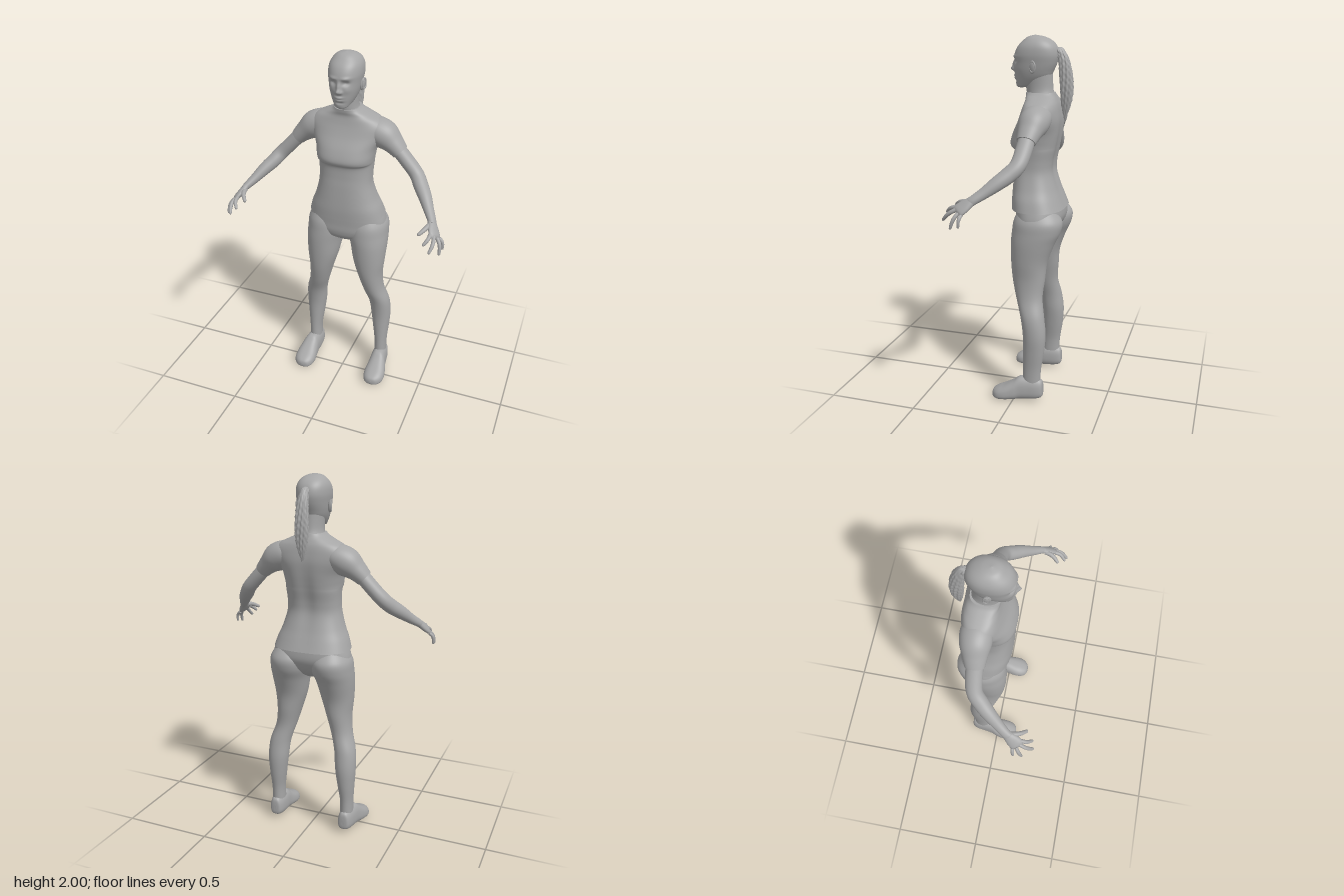
import * as THREE from 'three';

const V = (x, y, z) => new THREE.Vector3(x, y, z);
const pw = (v, e) => Math.sign(v) * Math.abs(v) ** e;
const bump = (x, y, wx, wy) => Math.exp(-((x / wx) ** 2) - (y / wy) ** 2);

// Smooth interpolation through rows of numbers
function sample(keys, t) {
  const f = t * (keys.length - 1), i = Math.min(Math.floor(f), keys.length - 2), u = f - i;
  const k = (j) => keys[Math.max(0, Math.min(keys.length - 1, j))];
  return keys[i].map((_, c) => {
    const a = k(i - 1)[c], b = k(i)[c], d = k(i + 1)[c], e = k(i + 2)[c];
    return b + 0.5 * u * (d - a + u * (2 * a - 5 * b + 4 * d - e + u * (3 * (b - d) + e - a)));
  });
}

// Closed skin over rings of points; point(t, angle) gives [x, y, z]
function skin(point, rows, n) {
  const pos = [], idx = [];
  for (let r = 0; r <= rows; r++)
    for (let i = 0; i < n; i++) pos.push(...point(r / rows, (i / n) * Math.PI * 2));
  for (let r = 0; r < rows; r++)
    for (let i = 0; i < n; i++) {
      const a = r * n + i, b = r * n + ((i + 1) % n);
      idx.push(a, a + n, b, b, a + n, b + n);
    }
  // Flat end caps with their own vertices
  for (const end of [0, rows]) {
    const start = pos.length / 3, mid = [0, 0, 0];
    for (let i = 0; i < n; i++)
      for (let c = 0; c < 3; c++) {
        const v = pos[(end * n + i) * 3 + c];
        mid[c] += v / n;
        pos.push(v);
      }
    pos.push(...mid);
    for (let i = 0; i < n; i++) {
      const a = start + i, b = start + ((i + 1) % n);
      idx.push(...(end ? [a, start + n, b] : [a, b, start + n]));
    }
  }
  // Turn the faces outward whatever the ring direction
  const p = (i) => V(pos[i * 3], pos[i * 3 + 1], pos[i * 3 + 2]);
  let volume = 0;
  for (let i = 0; i < idx.length; i += 3) volume += p(idx[i]).dot(p(idx[i + 1]).cross(p(idx[i + 2])));
  if (volume < 0) idx.reverse();
  const g = new THREE.BufferGeometry();
  g.setAttribute('position', new THREE.Float32BufferAttribute(pos, 3));
  g.setIndex(idx);
  g.computeVertexNormals();
  return g;
}

// Level rings: [y, x centre, half width, z front, z back]; e squares the ring, shape refines a point
function stack(keys, { s = 1, e = 0.9, n = 48, steps = 6, shape = (p) => p } = {}) {
  return skin((t, a) => {
    const [y, xc, hw, zf, zb] = sample(keys, t);
    const c = Math.cos(a), q = Math.sin(a);
    return shape([s * (xc + hw * pw(c, e)), y, (zf + zb) / 2 + ((zf - zb) / 2) * pw(q, e)], q, a);
  }, (keys.length - 1) * steps, n);
}

// Rings across a path: [x, y, z, radius, radius along ref]
function limb(keys, s, ref = V(0, 0, 1), n = 24, steps = 6) {
  return skin((t, a) => {
    const k = sample(keys, t);
    const k0 = sample(keys, Math.max(0, t - 0.02)), k1 = sample(keys, Math.min(1, t + 0.02));
    const dir = V(k1[0] - k0[0], k1[1] - k0[1], k1[2] - k0[2]).normalize();
    const b = ref.clone().addScaledVector(dir, -ref.dot(dir)).normalize();
    const w = dir.cross(b);
    const p = V(k[0], k[1], k[2]).addScaledVector(w, k[3] * Math.cos(a)).addScaledVector(b, k[4] * Math.sin(a));
    return [s * p.x, p.y, p.z];
  }, (keys.length - 1) * steps, n);
}

export function createModel() {
  const model = new THREE.Group();
  const grey = new THREE.MeshStandardMaterial({ color: 0xa6a6a6 });
  grey.name = 'grey';
  const add = (name, geometry) => {
    const mesh = new THREE.Mesh(geometry, grey);
    mesh.name = name;
    model.add(mesh);
    return mesh;
  };

  // Head, with the face raised and sunk from the front of the skull
  const face = ([x, y, z], q) => {
    const ax = Math.abs(x);
    const d = 0.021 * bump(x, y - 1.825, 0.012, 0.013) + 0.014 * bump(x, y - 1.85, 0.01, 0.022)
      + 0.007 * bump(ax - 0.014, y - 1.82, 0.008, 0.008)
      - 0.013 * bump(ax - 0.033, y - 1.866, 0.018, 0.012) + 0.006 * bump(ax - 0.035, y - 1.89, 0.025, 0.008)
      + 0.009 * bump(x, y - 1.792, 0.02, 0.006) + 0.008 * bump(x, y - 1.777, 0.018, 0.006)
      - 0.005 * bump(x, y - 1.763, 0.025, 0.007) + 0.004 * bump(ax - 0.045, y - 1.83, 0.02, 0.018);
    return [x, y, z + (q > 0 ? d * Math.min(1, q * 2) : 0)];
  };
  add('head', stack([
    [1.728, 0, 0.012, 0.035, 0.01], [1.735, 0, 0.034, 0.046, -0.03], [1.753, 0, 0.049, 0.051, -0.09],
    [1.785, 0, 0.065, 0.055, -0.135], [1.82, 0, 0.076, 0.057, -0.155], [1.86, 0, 0.083, 0.058, -0.172],
    [1.9, 0, 0.088, 0.057, -0.18], [1.94, 0, 0.084, 0.04, -0.172], [1.97, 0, 0.068, 0.012, -0.147],
    [1.991, 0, 0.041, -0.015, -0.105], [2, 0, 0.003, -0.05, -0.058]], { n: 120, steps: 9, shape: face }));
  add('neck', stack([[1.64, 0, 0.085, -0.02, -0.17], [1.69, 0, 0.064, -0.012, -0.16], [1.73, 0, 0.057, -0.005, -0.152],
    [1.8, 0, 0.06, 0, -0.15]], { e: 1 }));

  // Ponytail with ragged strands, and its tie
  add('ponytail', stack([
    [1.94, 0, 0.004, -0.165, -0.18], [1.932, 0, 0.015, -0.16, -0.205], [1.88, 0, 0.025, -0.18, -0.235],
    [1.8, 0, 0.031, -0.188, -0.254], [1.72, 0, 0.032, -0.193, -0.258], [1.64, 0, 0.022, -0.2, -0.247],
    [1.565, 0, 0.003, -0.214, -0.22]], {
    n: 60, shape: ([x, y, z], q, a) => {
      const k = 1 + 0.1 * Math.cos(11 * a + 30 * y) + 0.05 * Math.cos(7 * a - 170 * y);
      return [x * k, y, -0.218 + (z + 0.218) * k];
    } }));
  const tie = add('hairTie', new THREE.TorusGeometry(0.016, 0.007, 10, 24));
  tie.position.set(0, 1.918, -0.183);
  tie.rotation.x = 0.5;

  // Shirt body with a softly hollowed spine
  add('shirt', stack([
    [1.085, 0, 0.213, 0.055, -0.233], [1.14, 0, 0.196, 0.057, -0.212], [1.2, 0, 0.171, 0.055, -0.19],
    [1.28, 0, 0.149, 0.05, -0.168], [1.34, 0, 0.146, 0.045, -0.17], [1.4, 0, 0.15, 0.046, -0.182],
    [1.422, 0, 0.153, 0.066, -0.186], [1.45, 0, 0.157, 0.07, -0.191], [1.5, 0, 0.167, 0.053, -0.198],
    [1.56, 0, 0.195, 0.022, -0.202], [1.61, 0, 0.206, 0.002, -0.197], [1.645, 0, 0.178, -0.008, -0.19],
    [1.67, 0, 0.128, -0.012, -0.18], [1.69, 0, 0.085, -0.008, -0.17], [1.705, 0, 0.067, -0.006, -0.163]], {
    n: 72, e: 0.8, shape: ([x, y, z], q) => [x, y, q < 0 ? z + 0.012 * bump(x, y - 1.38, 0.04, 0.2) : z] }));

  // Trousers seat
  add('trousersSeat', stack([
    [1.1, 0, 0.205, 0.035, -0.224], [1.04, 0, 0.221, 0.032, -0.226], [0.99, 0, 0.215, 0.03, -0.205],
    [0.95, 0, 0.15, 0.015, -0.17], [0.915, 0, 0.04, -0.03, -0.12]], { n: 64, e: 0.85 }));

  const across = V(0.04, -0.035, -0.045), handBack = V(0.73, 0.68, 0.12);
  for (const [side, s] of [['left', 1], ['right', -1]]) {
    // Leg
    add(side + 'Leg', stack([
      [1.085, 0.12, 0.075, 0, -0.2], [1.03, 0.12, 0.108, 0.026, -0.238], [0.97, 0.123, 0.112, 0.035, -0.232],
      [0.9, 0.133, 0.103, 0.039, -0.2], [0.8, 0.14, 0.089, 0.036, -0.165], [0.7, 0.151, 0.069, 0.025, -0.155],
      [0.6, 0.17, 0.058, 0, -0.147], [0.5, 0.199, 0.059, -0.033, -0.164], [0.4, 0.208, 0.057, -0.049, -0.176],
      [0.3, 0.212, 0.047, -0.051, -0.17], [0.2, 0.215, 0.036, -0.051, -0.155], [0.12, 0.215, 0.035, -0.05, -0.15]],
    { s, e: 0.95 }));

    // Shoe: [z, x centre, half width, bottom, top]
    const shoe = [[-0.166, 0.215, 0.008, 0.05, 0.09], [-0.16, 0.215, 0.028, 0.03, 0.125], [-0.13, 0.216, 0.04, 0.019, 0.138],
      [-0.08, 0.218, 0.045, 0.013, 0.142], [-0.035, 0.222, 0.048, 0.009, 0.14], [0, 0.226, 0.055, 0.005, 0.116],
      [0.05, 0.228, 0.062, 0.001, 0.086], [0.09, 0.228, 0.056, 0, 0.067], [0.117, 0.226, 0.034, 0.005, 0.05],
      [0.125, 0.225, 0.006, 0.018, 0.032]];
    add(side + 'Shoe', skin((t, a) => {
      const [z, xc, hw, lo, hi] = sample(shoe, t);
      const q = Math.sin(a), taper = 1 - 0.15 * q;
      return [s * (xc + hw * taper * pw(Math.cos(a), 0.75)), (lo + hi) / 2 + ((hi - lo) / 2) * pw(q, 0.8), z];
    }, 54, 40));

    // Sleeve and arm
    add(side + 'Sleeve', limb([
      [0.09, 1.605, -0.105, 0.04, 0.055], [0.14, 1.59, -0.105, 0.068, 0.08], [0.2, 1.56, -0.102, 0.076, 0.08],
      [0.25, 1.522, -0.096, 0.056, 0.064], [0.292, 1.482, -0.09, 0.043, 0.051]], s, V(0, 0, 1), 40));
    add(side + 'Arm', limb([
      [0.26, 1.515, -0.092, 0.038, 0.044], [0.33, 1.44, -0.088, 0.038, 0.044], [0.388, 1.378, -0.076, 0.038, 0.042],
      [0.425, 1.335, -0.038, 0.038, 0.042], [0.462, 1.298, 0.008, 0.034, 0.038], [0.5, 1.255, 0.063, 0.026, 0.03],
      [0.53, 1.224, 0.108, 0.02, 0.026], [0.538, 1.213, 0.124, 0.017, 0.026]], s, V(0, 0, 1), 32));

    // Palm, fingers and thumb
    add(side + 'Palm', limb([
      [0.525, 1.229, 0.1, 0.016, 0.022], [0.538, 1.212, 0.125, 0.018, 0.029], [0.552, 1.193, 0.15, 0.017, 0.037],
      [0.565, 1.175, 0.173, 0.014, 0.038], [0.571, 1.166, 0.182, 0.004, 0.03]], s, across));
    const fingers = {
      IndexFinger: [V(0.545, 1.19, 0.19), V(0.523, 1.152, 0.25), 0.0105],
      MiddleFinger: [V(0.563, 1.178, 0.186), V(0.558, 1.118, 0.26), 0.0105],
      RingFinger: [V(0.577, 1.165, 0.17), V(0.6, 1.087, 0.205), 0.01],
      LittleFinger: [V(0.585, 1.157, 0.152), V(0.606, 1.097, 0.16), 0.009],
      Thumb: [V(0.525, 1.214, 0.135), V(0.486, 1.186, 0.215), 0.0125],
    };
    for (const [name, [base, tip, r]] of Object.entries(fingers)) {
      const keys = [[0, 1], [0.33, 1], [0.62, 0.92], [0.9, 0.75], [0.98, 0.5], [1, 0.08]].map(([t, w]) => {
        const p = base.clone().lerp(tip, t).addScaledVector(handBack, 0.012 * Math.sin(Math.PI * t));
        return [p.x, p.y, p.z, r * w, r * w];
      });
      add(side + name, limb(keys, s, across, 14, 4));
    }

    // Eye and ear
    const eye = add(side + 'Eye', new THREE.SphereGeometry(0.012, 20, 14));
    eye.scale.set(1.1, 0.55, 0.6);
    eye.position.set(s * 0.033, 1.865, 0.031);
    const ear = add(side + 'Ear', new THREE.SphereGeometry(0.03, 20, 16));
    ear.scale.set(0.35, 1.1, 0.65);
    ear.position.set(s * 0.086, 1.838, -0.062);
    ear.rotation.set(-0.15, s * -0.3, s * -0.12);
    const rim = add(side + 'EarRim', new THREE.TorusGeometry(0.021, 0.0045, 8, 28));
    rim.scale.set(0.75, 1.3, 1);
    rim.position.set(s * 0.092, 1.84, -0.064);
    rim.rotation.y = Math.PI / 2 - s * 0.3;
  }
  return model;
}
